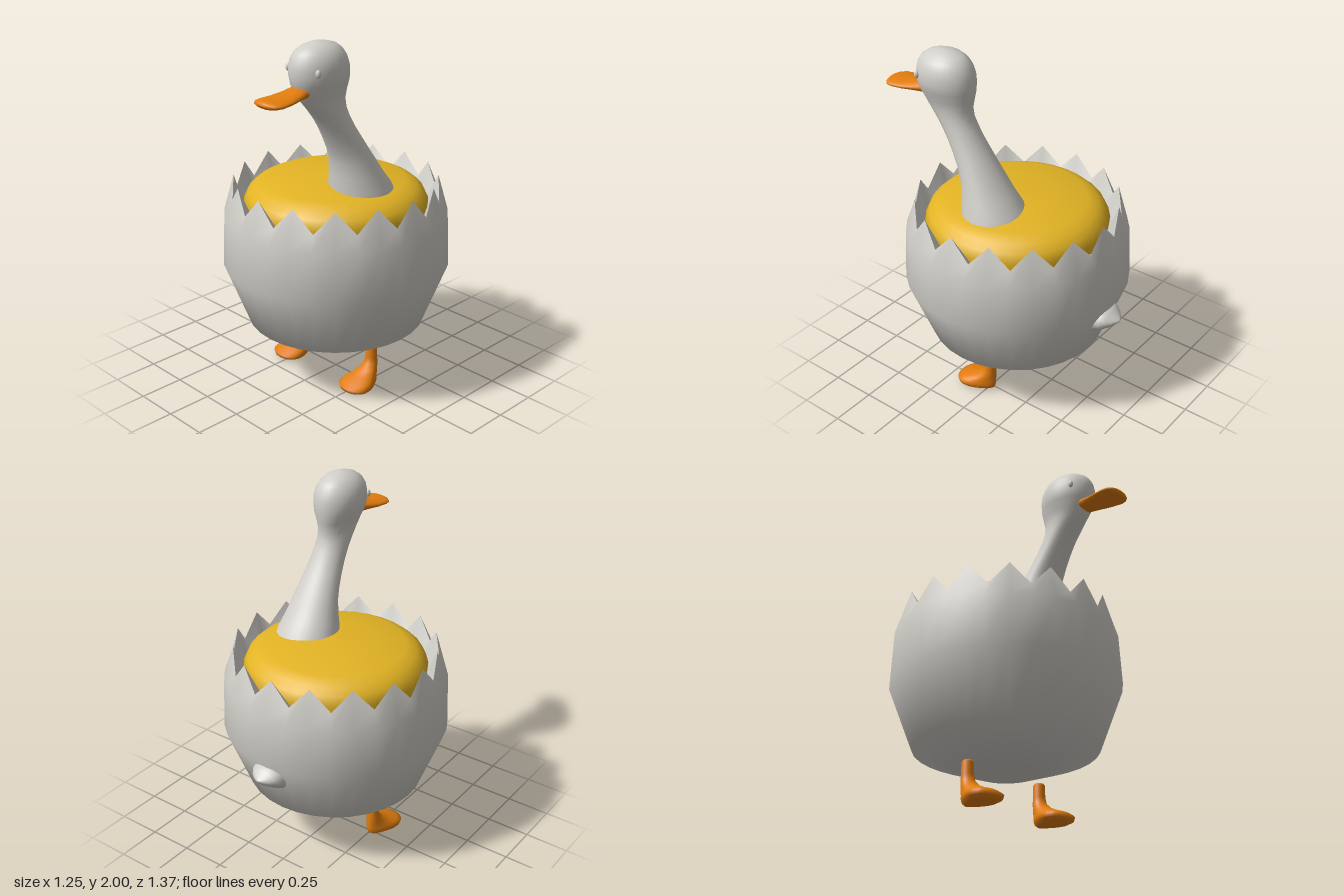
import * as THREE from 'three';

const mat = (name, color) => {
  const m = new THREE.MeshStandardMaterial({ color });
  m.name = name;
  return m;
};

// Closed rings of points joined into a smooth skin
function skin(rings) {
  const n = rings[0].length, pos = [], idx = [];
  rings.forEach((ring) => ring.forEach((p) => pos.push(...p)));
  for (let i = 0; i < rings.length - 1; i++) {
    for (let j = 0; j < n; j++) {
      const k = (j + 1) % n;
      const a = i * n + j, b = i * n + k, c = a + n, d = b + n;
      idx.push(a, b, d, a, d, c);
    }
  }
  const g = new THREE.BufferGeometry();
  g.setAttribute('position', new THREE.Float32BufferAttribute(pos, 3));
  g.setIndex(idx);
  g.computeVertexNormals();
  return g;
}

// One ring of n points from a rule of angle and index
const ring = (n, rule) =>
  Array.from({ length: n }, (_, j) => rule((j / n) * Math.PI * 2, j));

// Horizontal slices: [y, front z, back z, half width, egg factor]
const upright = (rows, n = 28) => skin(rows.map(([y, zf, zb, hx, egg = 0]) => ring(n, (a) => [
  (hx * Math.sin(a) * (1 + egg * Math.cos(a))) / (1 + egg * 0.45),
  y,
  (zf + zb) / 2 + ((zf - zb) / 2) * Math.cos(a),
])));

// Vertical slices along z: [z, half width, top y, bottom y]
const lengthwise = (rows, n = 24) => skin(rows.map(([z, hx, top, bot]) => ring(n, (a) => [
  hx * Math.cos(a), (top + bot) / 2 + ((top - bot) / 2) * Math.sin(a), z,
])));

export function createModel() {
  const group = new THREE.Group();
  const white = mat('eggshell white', 0xd0cec8);
  const gold = mat('yolk gold', 0xe2b324);
  const orange = mat('bill orange', 0xe27d0e);
  const add = (name, geometry, material, x = 0, y = 0, z = 0) => {
    const m = new THREE.Mesh(geometry, material);
    m.name = name;
    m.position.set(x, y, z);
    group.add(m);
    return m;
  };

  // Cracked shell with sixteen teeth
  const N = 32;
  const round = (r, y) => ring(N, (a) => [r * Math.sin(a), y, r * Math.cos(a)]);
  const rim = ring(N, (a, j) => {
    const tip = j % 2 === 0;
    const r = tip ? 0.555 : 0.565;
    return [r * Math.sin(a), tip ? 1.18 : 1.06, r * Math.cos(a)];
  });
  add('shellOuter', skin([
    round(0, 0.24), round(0.175, 0.24), round(0.495, 0.36), round(0.625, 0.7), round(0.612, 0.98), rim,
  ]), white);
  add('shellInner', skin([rim, round(0.5, 1.0), round(0.48, 0.95)]), white);

  // Domed yolk filling
  add('yolk', skin([
    round(0.49, 0.97), round(0.503, 1.05), round(0.48, 1.1), round(0.44, 1.135), round(0.38, 1.163),
    round(0.2, 1.19), round(0, 1.197),
  ]), gold);

  // Neck and head in one skin
  add('neckAndHead', upright([
    [1.13, 0.175, -0.18, 0.185],
    [1.19, 0.18, -0.15, 0.172],
    [1.26, 0.182, -0.095, 0.15],
    [1.34, 0.19, -0.04, 0.13],
    [1.41, 0.215, 0.008, 0.115],
    [1.48, 0.25, 0.055, 0.103],
    [1.54, 0.285, 0.095, 0.095],
    [1.6, 0.325, 0.128, 0.091],
    [1.65, 0.365, 0.15, 0.09],
    [1.7, 0.41, 0.155, 0.092],
    [1.75, 0.448, 0.145, 0.102],
    [1.8, 0.469, 0.138, 0.124],
    [1.84, 0.476, 0.138, 0.131],
    [1.88, 0.476, 0.142, 0.131],
    [1.92, 0.468, 0.155, 0.122],
    [1.955, 0.447, 0.178, 0.102],
    [1.98, 0.412, 0.21, 0.074],
    [1.995, 0.365, 0.26, 0.038],
    [2.0, 0.315, 0.315, 0],
  ]), white, 0.195);

  // Small bead eyes
  for (const s of [-1, 1]) {
    const eye = add(s > 0 ? 'leftEye' : 'rightEye', new THREE.SphereGeometry(0.014, 14, 10), white,
      0.195 + s * 0.106, 1.87, 0.415);
    eye.scale.y = 1.5;
  }

  // Flat spoon-shaped bill
  add('bill', lengthwise([
    [0.38, 0, 1.765, 1.765],
    [0.38, 0.05, 1.8, 1.735],
    [0.44, 0.06, 1.8, 1.732],
    [0.5, 0.073, 1.783, 1.73],
    [0.56, 0.086, 1.772, 1.727],
    [0.62, 0.094, 1.768, 1.725],
    [0.65, 0.089, 1.767, 1.726],
    [0.67, 0.07, 1.765, 1.729],
    [0.681, 0.045, 1.76, 1.735],
    [0.685, 0, 1.748, 1.748],
  ]), orange, 0.195);

  // Stubby tail
  add('tail', lengthwise([
    [-0.687, 0, 0.636, 0.636],
    [-0.68, 0.022, 0.645, 0.623],
    [-0.662, 0.05, 0.657, 0.605],
    [-0.64, 0.075, 0.675, 0.587],
    [-0.61, 0.098, 0.697, 0.565],
    [-0.54, 0.11, 0.71, 0.52],
  ]), white);

  // Legs with webbed feet
  const foot = upright([
    [0.005, 0.08, 0.08, 0],
    [0.008, 0.165, -0.02, 0.075, 0.4],
    [0.022, 0.192, -0.037, 0.1, 0.4],
    [0.042, 0.197, -0.043, 0.108, 0.4],
    [0.06, 0.17, -0.044, 0.095, 0.4],
    [0.08, 0.115, -0.045, 0.07, 0.3],
    [0.105, 0.06, -0.045, 0.05, 0.15],
    [0.135, 0.03, -0.045, 0.038],
    [0.17, 0.022, -0.044, 0.033],
    [0.235, 0.021, -0.042, 0.032],
    [0.245, 0.015, -0.036, 0.026],
    [0.246, -0.01, -0.01, 0],
  ]);
  add('leftLeg', foot, orange, 0.27);
  add('rightLeg', foot, orange, -0.27);

  return group;
}
